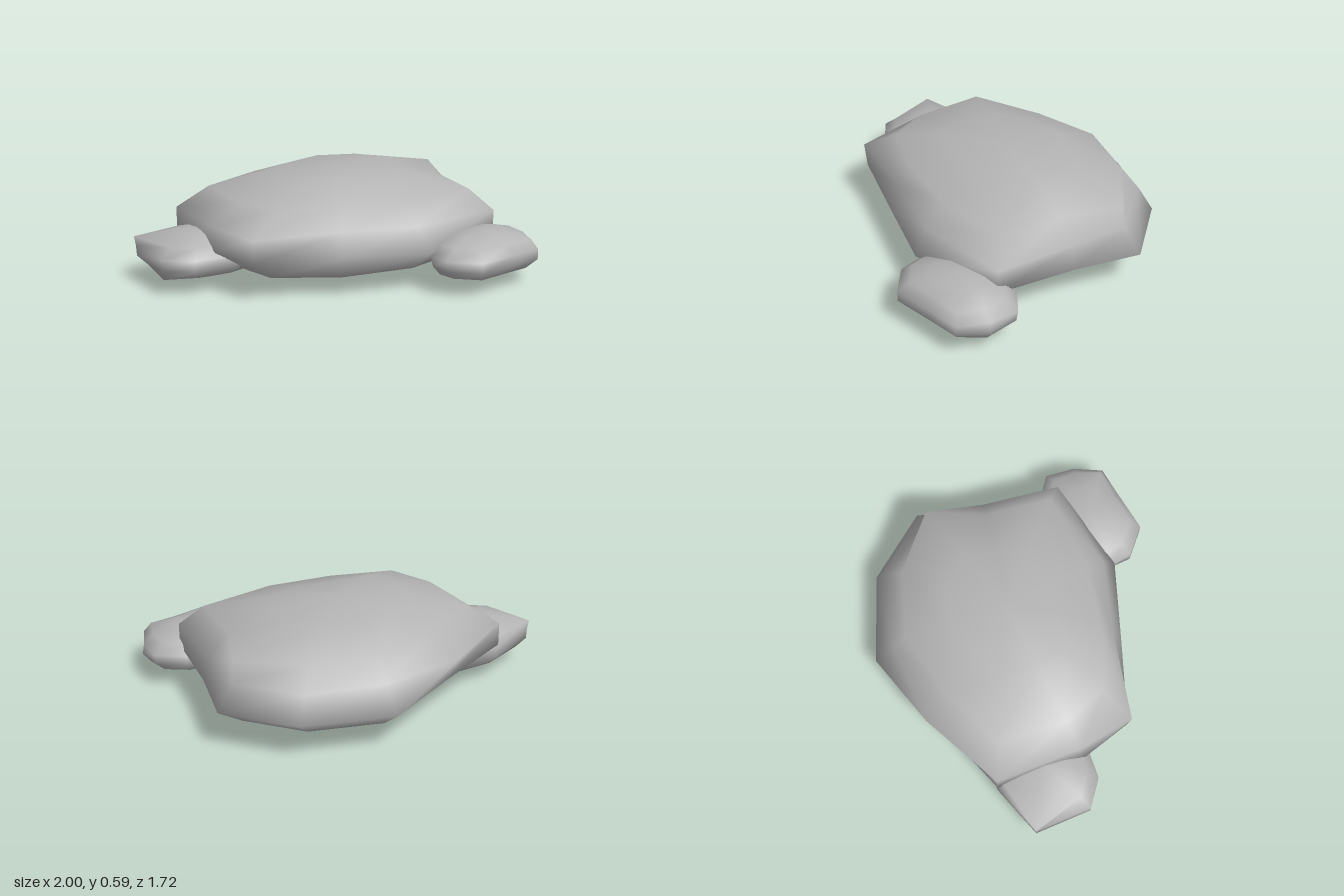
import * as THREE from 'three';

const stone = new THREE.MeshStandardMaterial({ color: 0xb4b4b4 });
stone.name = 'grey stone';

const STACKS = 7;

// A smooth boulder: a rounded body of six rings between two poles. The plan outline [x, z]
// is its widest ring; bulges[ring] pushes single corners of a ring out or in.
function makeRock(name, [cx, cz], [bottom, top], outline, bulges) {
  const n = outline.length;
  const widest = Math.sin((3 * Math.PI) / STACKS);
  const positions = [cx, bottom, cz];
  bulges.forEach((bulge, ring) => {
    const angle = ((ring + 1) * Math.PI) / STACKS;
    const y = bottom + ((top - bottom) * (1 - Math.cos(angle))) / 2;
    outline.forEach(([x, z], i) => {
      const s = (Math.sin(angle) / widest) * (bulge[i] ?? 1);
      positions.push(cx + (x - cx) * s, y, cz + (z - cz) * s);
    });
  });
  positions.push(cx, top, cz);

  const index = [];
  const last = bulges.length - 1;
  const at = (ring, i) => 1 + ring * n + (i % n);
  const peak = 1 + bulges.length * n;
  for (let i = 0; i < n; i++) {
    index.push(0, at(0, i), at(0, i + 1)); // underside
    for (let r = 0; r < last; r++) {
      index.push(at(r, i), at(r + 1, i), at(r, i + 1));
      index.push(at(r, i + 1), at(r + 1, i), at(r + 1, i + 1));
    }
    index.push(peak, at(last, i + 1), at(last, i)); // crown
  }

  const geometry = new THREE.BufferGeometry();
  geometry.setAttribute('position', new THREE.Float32BufferAttribute(positions, 3));
  geometry.setIndex(index);
  geometry.computeVertexNormals();
  const mesh = new THREE.Mesh(geometry, stone);
  mesh.name = name;
  return mesh;
}

export function createModel() {
  const group = new THREE.Group();
  group.name = 'rockCluster';

  // Wide, flattened main boulder
  group.add(makeRock('mainBoulder', [0.14, -0.1], [0, 0.59],
    [[1, -0.31], [0.88, 0.05], [0.78, 0.49], [0.26, 0.62], [-0.2, 0.45], [-0.66, 0.29],
      [-0.73, -0.04], [-0.69, -0.52], [-0.22, -0.74], [0.26, -0.86], [0.73, -0.67]],
    [
      {},
      { 4: 1.15, 7: 0.9, 8: 0.9 },
      { 5: 0.98, 8: 0.92 },
      { 0: 0.88, 1: 0.96, 3: 0.88, 4: 0.92, 6: 0.97, 9: 0.85, 10: 0.9 },
      { 0: 1.08, 2: 1.04, 3: 0.9, 5: 0.96, 8: 0.96, 9: 0.94, 10: 0.97 },
      { 2: 0.9, 3: 0.8, 4: 0.9 },
    ]));

  // Small stone at the front left
  group.add(makeRock('frontStone', [0.6, 0.6], [0.045, 0.31],
    [[0.94, 0.49], [0.93, 0.66], [0.84, 0.81], [0.66, 0.83], [0.42, 0.86], [0.28, 0.73],
      [0.26, 0.61], [0.4, 0.43], [0.6, 0.35], [0.8, 0.38]],
    [{}, { 1: 1.1 }, { 0: 0.97, 6: 0.95 }, { 1: 0.97 }, { 2: 1.08 }, {}]));

  // Small stone on the right side
  group.add(makeRock('sideStone', [-0.67, -0.25], [0.045, 0.31],
    [[-0.33, -0.2], [-0.4, -0.03], [-0.6, 0.03], [-0.85, 0.01], [-0.99, -0.1],
      [-1, -0.43], [-0.68, -0.52], [-0.4, -0.5]],
    [{}, { 4: 1.2 }, { 5: 0.96 }, { 5: 0.97 }, { 5: 1.24, 6: 1.1 }, {}]));

  return group;
}
